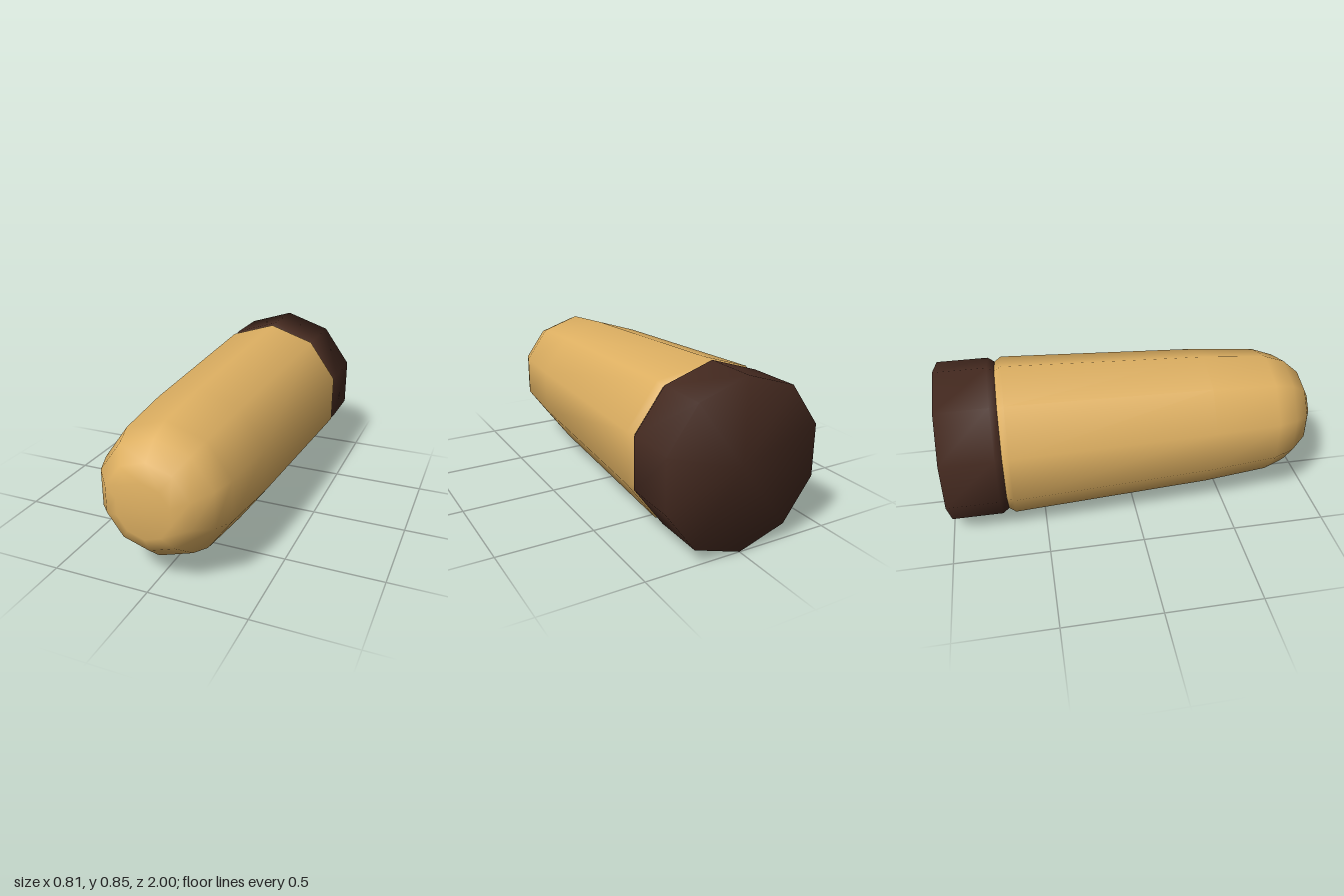
import * as THREE from 'three';

const RADIUS = 0.424;
const SIDES = 10;

// Ten-sided smooth turned part; profile is [radius, z] from back to front
function turned(name, color, profile) {
  const points = profile.map(([r, z]) => new THREE.Vector2(r, z));
  const geometry = new THREE.LatheGeometry(points, SIDES);
  geometry.rotateX(Math.PI / 2); // lathe axis now runs along z
  geometry.translate(0, RADIUS, 0);
  const material = new THREE.MeshStandardMaterial({ color, side: THREE.DoubleSide });
  const mesh = new THREE.Mesh(geometry, material);
  mesh.name = name;
  return mesh;
}

export function createModel() {
  const group = new THREE.Group();
  group.name = 'roundedPeg';

  // Tapered body with a chamfered rear rim and a rounded, flat-tipped nose
  group.add(turned('body', 0xdeb062, [
    [0.4, -0.695], [RADIUS, -0.66], [0.374, 0.41], [0.342, 0.76],
    [0.302, 0.87], [0.222, 0.96], [0.142, 1], [0, 1],
  ]));

  // Dark end cap, chamfered where it meets the body, flat at the back
  group.add(turned('endCap', 0x452a20, [
    [0, -1], [RADIUS, -1], [RADIUS, -0.73], [0.4, -0.695],
  ]));

  return group;
}
